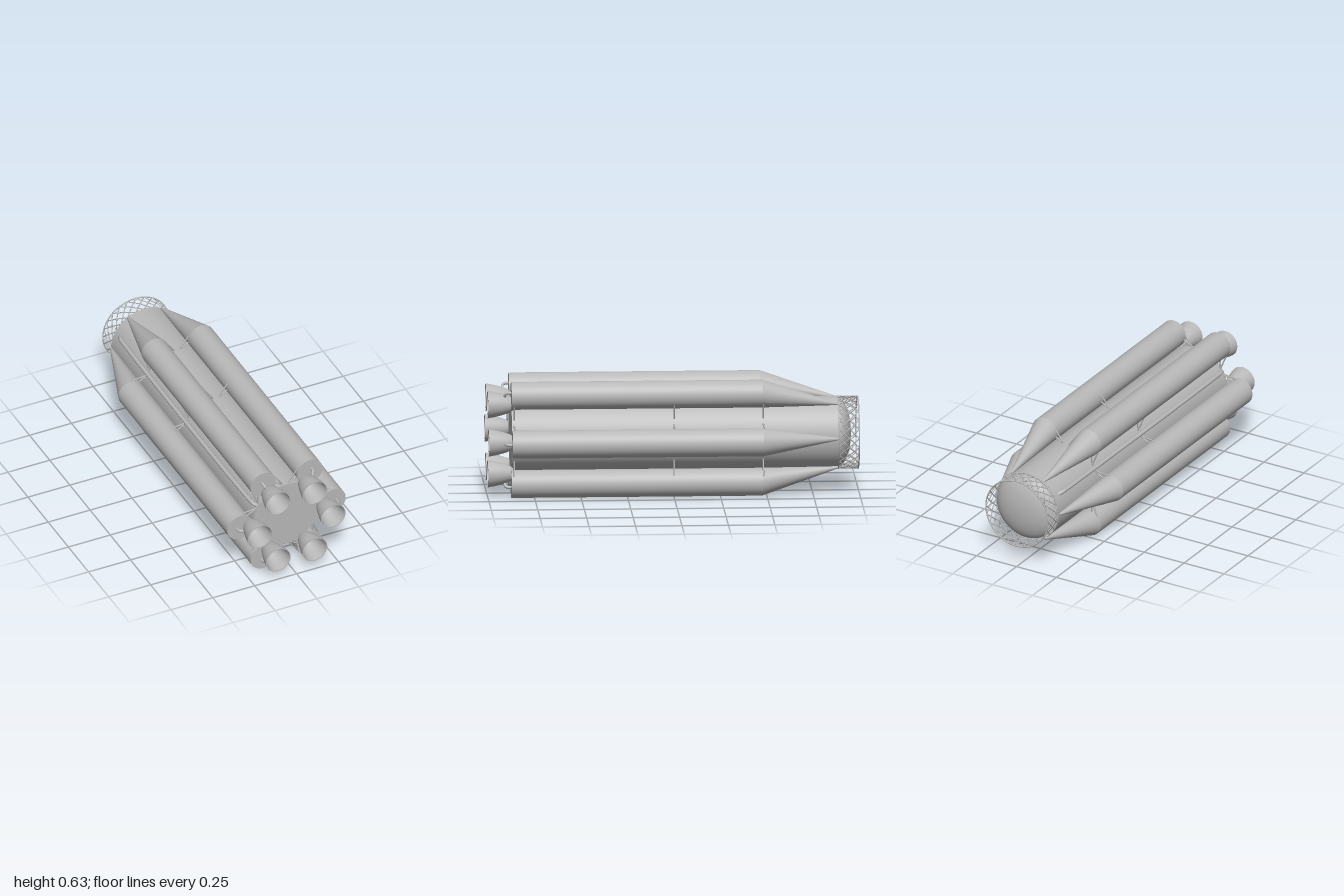
import * as THREE from 'three';

const AXIS_Y = 0.316, CORE_R = 0.196, BOOSTER_R = 0.075, BOOSTER_X = 0.278;
const metal = new THREE.MeshStandardMaterial({ color: 0xb8b8b8 });
metal.name = 'grey metal';
const metalTwoSided = metal;

const v = (x, y, z) => new THREE.Vector3(x, y, z);

function add(parent, name, geometry) {
  const mesh = new THREE.Mesh(geometry, metalTwoSided);
  mesh.name = name;
  parent.add(mesh);
  return mesh;
}

// Round bar between two points
function bar(parent, name, a, b, r, sides = 6) {
  const d = b.clone().sub(a);
  const mesh = add(parent, name, new THREE.CylinderGeometry(r, r, d.length(), sides));
  mesh.position.copy(a).add(b).multiplyScalar(0.5);
  mesh.quaternion.setFromUnitVectors(v(0, 1, 0), d.normalize());
}

// Cylinder along z; rFront is the radius at the +z end
function drum(rFront, rBack, zFront, zBack, sides, open = false) {
  return new THREE.CylinderGeometry(rFront, rBack, zFront - zBack, sides, 1, open)
    .rotateX(Math.PI / 2).translate(0, 0, (zFront + zBack) / 2);
}

// Profile of [radius, z] revolved about z
function turned(profile, sides = 40) {
  return new THREE.LatheGeometry(profile.map(p => new THREE.Vector2(...p)), sides).rotateX(Math.PI / 2);
}

function pipe(points, r, segments = 24) {
  return new THREE.TubeGeometry(new THREE.CatmullRomCurve3(points, false, 'centripetal'), segments, r, 10);
}

function makeBooster() {
  const g = new THREE.Group();
  g.name = 'booster';
  add(g, 'boosterBody', drum(BOOSTER_R, BOOSTER_R, 0.875, -0.475, 40)).position.x = BOOSTER_X;

  // Slanted nose: a cone sheared so its tip meets the core wall
  const nose = drum(BOOSTER_R, 0.006, -0.475, -0.885, 40, true);
  const p = nose.attributes.position;
  for (let i = 0; i < p.count; i++) {
    const t = (-0.475 - p.getZ(i)) / 0.41;
    p.setX(i, p.getX(i) + THREE.MathUtils.lerp(BOOSTER_X, CORE_R + 0.004, t));
  }
  nose.computeVertexNormals();
  add(g, 'boosterNose', nose);

  // Engine bell: outside, lip, inside and throat plate
  const engine = new THREE.Group();
  engine.name = 'engine';
  engine.position.x = 0.218;
  g.add(engine);
  add(engine, 'bellOutside', turned([[0.034, 0.865], [0.045, 0.885], [0.057, 0.92], [0.067, 0.96], [0.074, 1]]));
  add(engine, 'bellLip', turned([[0.074, 1], [0.069, 1]]));
  add(engine, 'bellInside', turned([[0.069, 1], [0.062, 0.96], [0.052, 0.92], [0.041, 0.89], [0.033, 0.878]]));
  add(engine, 'throatPlate', turned([[0.033, 0.878], [0, 0.878]]));

  // Exhaust elbow beside the bell
  add(g, 'exhaustElbow', pipe([v(0.297, 0, 0.865), v(0.297, 0, 0.893), v(0.289, 0, 0.906),
    v(0.274, 0, 0.91)], 0.008, 14));

  // Attachment struts on both sides at three stations
  for (const z of [0.86, 0, -0.48]) {
    for (const s of [-1, 1]) {
      const root = v(0.177, s * 0.084, z);
      bar(g, 'outerStrut', root, v(0.268, s * 0.073, z), 0.004);
      bar(g, 'innerStrut', root, v(0.228, s * 0.053, z), 0.004);
    }
  }
  return g;
}

function makeLattice() {
  const g = new THREE.Group();
  g.name = 'latticeInterstage';
  const n = 24, r = CORE_R - 0.002, z0 = -0.888, z1 = -0.996;
  for (const z of [z0, z1]) {
    add(g, 'latticeRing', new THREE.TorusGeometry(r, 0.004, 6, 64)).position.z = z;
  }
  // Crossing diagonals, bent at mid height to follow the round wall
  const at = (k, z) => {
    const a = k / n * Math.PI * 2;
    return v(r * Math.cos(a), r * Math.sin(a), z);
  };
  for (let i = 0; i < n; i++) {
    for (const s of [-1, 1]) {
      const mid = at(i + s, (z0 + z1) / 2);
      bar(g, 'latticeBar', at(i, z0), mid, 0.003, 5);
      bar(g, 'latticeBar', mid, at(i + 2 * s, z1), 0.003, 5);
    }
  }
  return g;
}

export function createModel() {
  const model = new THREE.Group();
  model.name = 'clusteredRocket';
  const rocket = new THREE.Group();
  rocket.name = 'rocket';
  rocket.position.y = AXIS_Y;
  model.add(rocket);

  // Central tank with its domed forward end
  add(rocket, 'coreTank', drum(CORE_R, CORE_R, 0.872, -0.885, 72));
  const dome = add(rocket, 'forwardDome',
    new THREE.SphereGeometry(0.186, 48, 12, 0, Math.PI * 2, 0, Math.PI / 2).rotateX(-Math.PI / 2));
  dome.scale.z = 0.4;
  dome.position.z = -0.885;

  for (let i = 0; i < 6; i++) {
    const booster = makeBooster();
    booster.rotation.z = i * Math.PI / 3;
    rocket.add(booster);
  }

  // Feed lines running along the core, bent into it at both ends
  for (const deg of [150, 270]) {
    const line = add(rocket, 'feedLine', pipe([v(0.18, 0, 0.855), v(0.2, 0, 0.85), v(0.21, 0, 0.83),
      v(0.21, 0, -0.78), v(0.205, 0, -0.82), v(0.18, 0, -0.845)], 0.012, 60));
    line.rotation.z = THREE.MathUtils.degToRad(deg);
  }

  rocket.add(makeLattice());
  return model;
}
